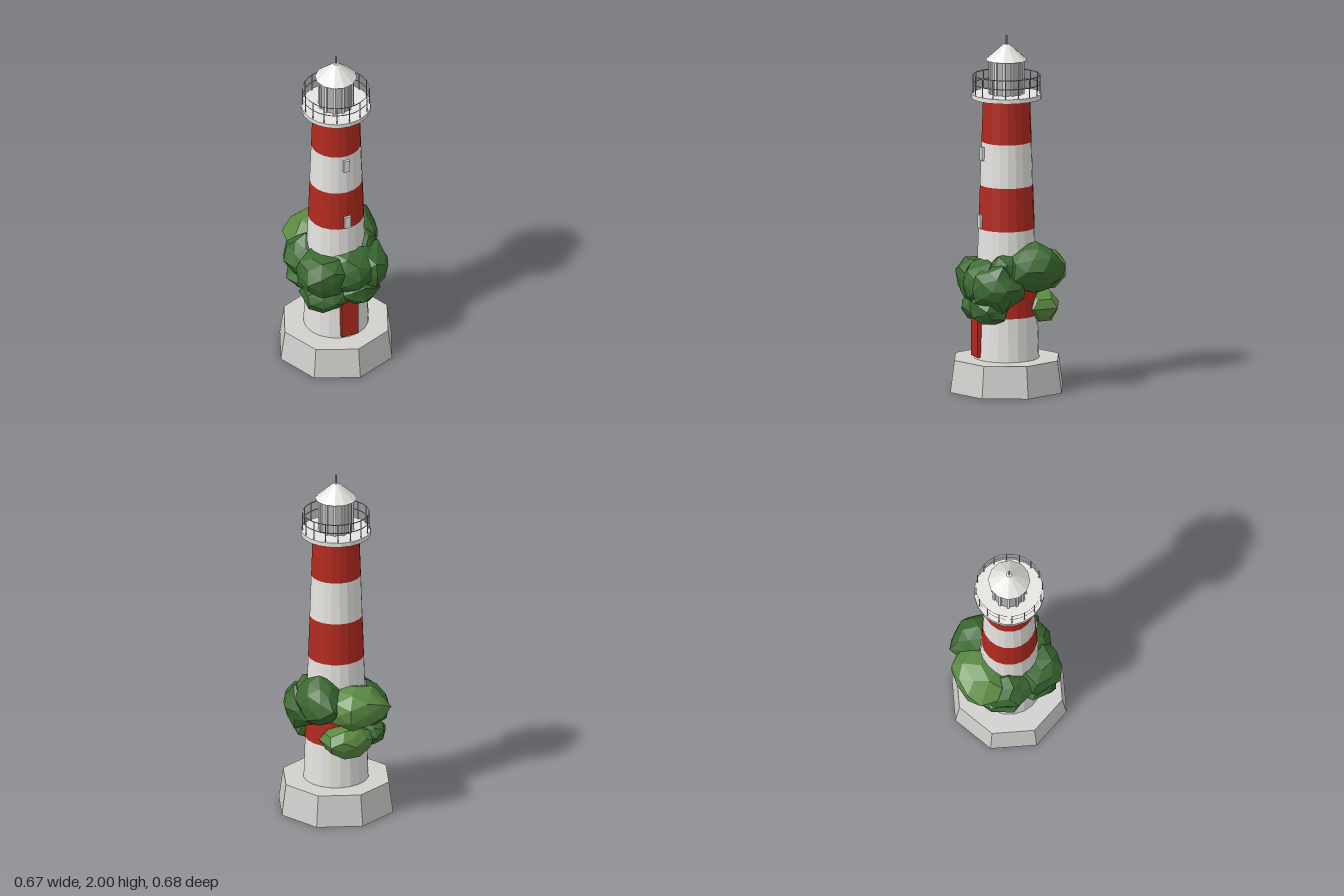
import * as THREE from 'three';

const flat = (name, color, side = THREE.FrontSide) => {
  const m = new THREE.MeshStandardMaterial({ color, flatShading: true, side });
  m.name = name;
  return m;
};

export function createModel() {
  const white = flat('whitePaint', 0xe6e4e1);
  const red = flat('redPaint', 0xb12a1f);
  const stone = flat('stone', 0xd2d0cd);
  const glass = flat('lanternGlass', 0xb2b4b4);
  const metal = flat('railMetal', 0xb0b0ae, THREE.DoubleSide);
  const darkLeaf = flat('darkLeaf', 0x3c6a33);
  const lightLeaf = flat('lightLeaf', 0x5b8a43);

  const model = new THREE.Group();
  model.name = 'lighthouse';
  const body = new THREE.Group();
  body.name = 'building';
  body.position.z = 0.01;
  model.add(body);

  const add = (name, geometry, material, x = 0, y = 0, z = 0, parent = body) => {
    const mesh = new THREE.Mesh(geometry, material);
    mesh.name = name;
    mesh.position.set(x, y, z);
    parent.add(mesh);
    return mesh;
  };
  // Upright tapered prism between two heights
  const prism = (name, y0, y1, r0, r1, sides, material, open = false) =>
    add(name, new THREE.CylinderGeometry(r1, r0, y1 - y0, sides, 1, open), material, 0, (y0 + y1) / 2);

  prism('base', 0, 0.18, 0.335, 0.31, 8, stone);

  // Tower of six tapering bands
  const bottom = 0.18, top = 1.645, bands = 6;
  const radiusAt = (y) => THREE.MathUtils.mapLinear(y, bottom, top, 0.182, 0.131);
  for (let i = 0; i < bands; i++) {
    const y0 = bottom + ((top - bottom) * i) / bands;
    const y1 = bottom + ((top - bottom) * (i + 1)) / bands;
    prism('towerBand', y0, y1, radiusAt(y0), radiusAt(y1), 20, i % 2 ? red : white);
  }

  // Door and front windows
  add('door', new THREE.BoxGeometry(0.1, 0.235, 0.04), red, 0, 0.313, 0.173);
  for (const y of [0.958, 1.338]) {
    add('window', new THREE.BoxGeometry(0.037, 0.075, 0.03), white, 0, y, radiusAt(y) - 0.004);
  }

  // Gallery with railing
  prism('gallery', 1.645, 1.67, 0.195, 0.195, 20, white);
  for (const y of [1.725, 1.775]) prism('rail', y - 0.003, y + 0.003, 0.185, 0.185, 32, metal, true);
  for (let i = 0; i < 16; i++) {
    const a = (i / 16) * Math.PI * 2;
    add('railPost', new THREE.CylinderGeometry(0.003, 0.003, 0.108, 5, 1, true), metal,
      Math.sin(a) * 0.185, 1.724, Math.cos(a) * 0.185);
  }

  // Lantern room with mullions, roof and mast
  prism('lantern', 1.67, 1.865, 0.092, 0.092, 12, glass);
  for (let i = 0; i < 12; i++) {
    const a = (i / 12) * Math.PI * 2;
    const bar = add('mullion', new THREE.BoxGeometry(0.014, 0.195, 0.014), white,
      Math.sin(a) * 0.092, 1.7675, Math.cos(a) * 0.092);
    bar.rotation.y = a;
  }
  prism('roof', 1.86, 1.95, 0.117, 0.016, 12, white);
  prism('mast', 1.95, 2, 0.005, 0.005, 5, metal);

  // Faceted foliage clumps: stretched icosahedra with uneven corners
  const foliage = new THREE.Group();
  foliage.name = 'foliage';
  model.add(foliage);
  const clumps = [
    ['backClump', lightLeaf, -0.03, 0.665, -0.18, 0.19, 0.125, 0.16],
    ['backLowerClump', lightLeaf, 0.02, 0.465, -0.165, 0.145, 0.1, 0.125],
    ['rightBackClump', darkLeaf, 0.16, 0.7, -0.1, 0.12, 0.145, 0.17],
    ['rightFrontClump', darkLeaf, 0.14, 0.6, 0.11, 0.125, 0.14, 0.155],
    ['rightUpperClump', darkLeaf, 0.12, 0.68, 0.04, 0.1, 0.115, 0.14],
    ['leftFrontClump', darkLeaf, -0.115, 0.61, 0.11, 0.155, 0.14, 0.16],
    ['leftBackClump', darkLeaf, -0.15, 0.61, -0.07, 0.12, 0.14, 0.15],
    ['frontClump', darkLeaf, 0.03, 0.615, 0.15, 0.17, 0.14, 0.125],
    ['leftLowerClump', darkLeaf, -0.105, 0.46, 0.11, 0.15, 0.09, 0.135],
    ['rightLowerClump', darkLeaf, 0.07, 0.475, 0.135, 0.14, 0.09, 0.12],
    ['leftBackLowerClump', darkLeaf, -0.13, 0.47, -0.09, 0.115, 0.095, 0.13],
  ];
  clumps.forEach(([name, material, x, y, z, rx, ry, rz], seed) => {
    const geometry = new THREE.IcosahedronGeometry(1, 1);
    const p = geometry.attributes.position;
    const v = new THREE.Vector3();
    for (let i = 0; i < p.count; i++) {
      v.fromBufferAttribute(p, i);
      const n = Math.sin(v.x * 6.1 + seed * 2.3) * Math.cos(v.y * 7.3 + seed) + Math.sin(v.z * 6.7 - seed * 1.7);
      v.multiplyScalar(0.98 + 0.08 * n);
      p.setXYZ(i, v.x * rx, v.y * ry, v.z * rz);
    }
    geometry.computeVertexNormals();
    add(name, geometry, material, x, y, z, foliage);
  });

  return model;
}
